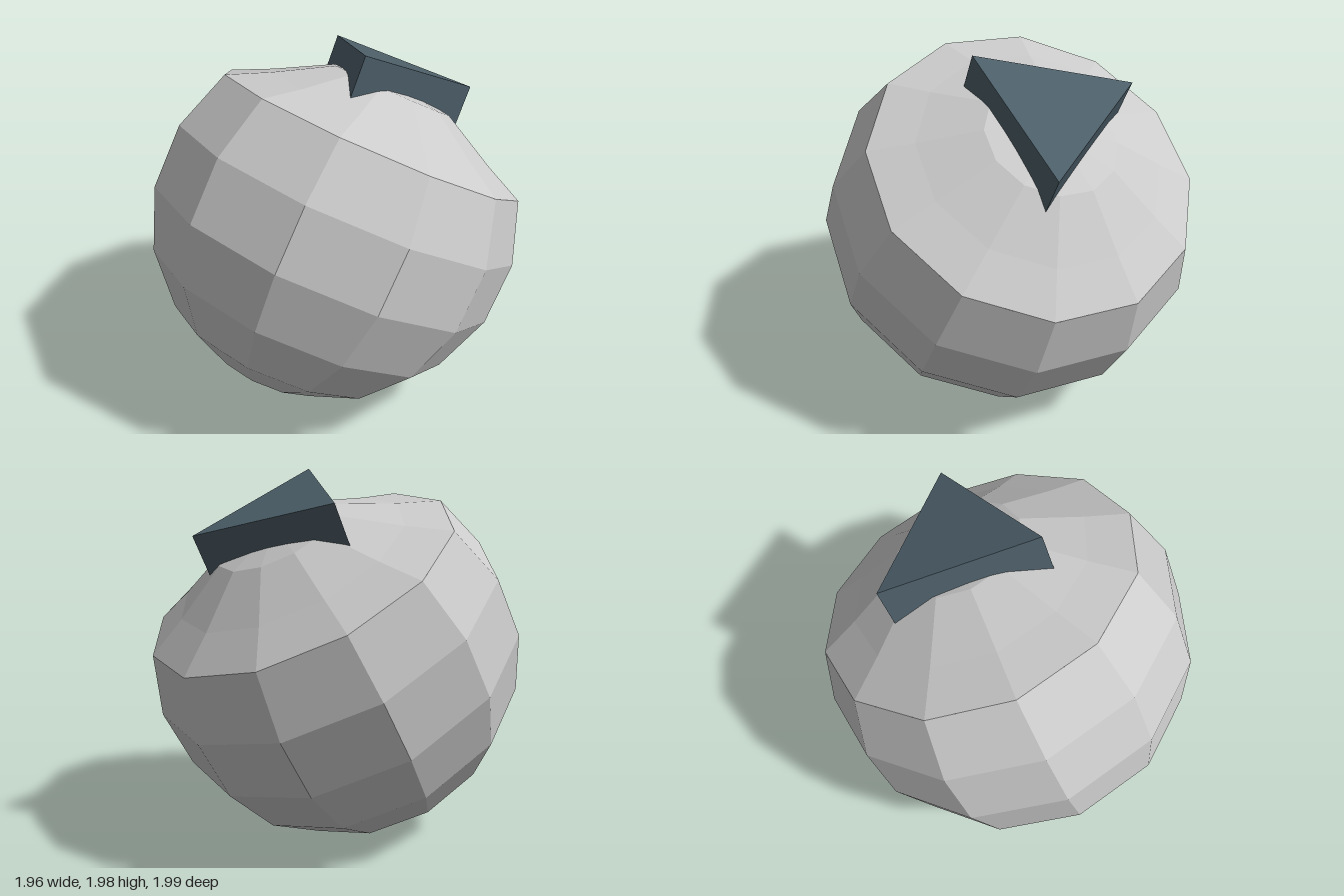
import * as THREE from 'three';

const rad = THREE.MathUtils.degToRad;

function part(name, geometry, color) {
  const flat = geometry.toNonIndexed();
  flat.computeVertexNormals();
  const mesh = new THREE.Mesh(flat, new THREE.MeshStandardMaterial({ color, flatShading: true }));
  mesh.name = name;
  return mesh;
}

export function createModel() {
  const group = new THREE.Group();
  group.name = 'eyeball';

  // Faceted ball: rings every 20 degrees from the lower pole up to the rim
  const ball = [];
  for (let a = 180; a >= 60; a -= 20) {
    ball.push(new THREE.Vector2(Math.abs(Math.sin(rad(a))), Math.cos(rad(a))));
  }
  ball[0].x = 0;

  // Flared face inside the rim, rising to a low dome
  const face = [[0.866, 0.5], [0.643, 0.603], [0.342, 0.76], [0, 0.805]]
    .map(([r, h]) => new THREE.Vector2(r, h));

  const eye = new THREE.Group();
  eye.name = 'tiltedBall';
  eye.add(
    part('ball', new THREE.LatheGeometry(ball, 12, rad(6)), 0xcccccc),
    part('raisedFace', new THREE.LatheGeometry(face, 12, rad(6)), 0xcccccc)
  );
  eye.position.y = 0.993;
  eye.rotation.x = rad(-30);
  group.add(eye);

  // Triangular pupil block sunk into the dome
  const depth = 0.26;
  const geometry = new THREE.CylinderGeometry(0.47, 0.47, depth, 3, 1, false, rad(-90));
  geometry.translate(0, -depth / 2, 0);
  const pupil = part('triangularPupil', geometry, 0x4d5f69);
  pupil.position.set(-0.01, 1.82, -0.385);
  pupil.rotation.x = rad(-25);
  group.add(pupil);

  return group;
}
